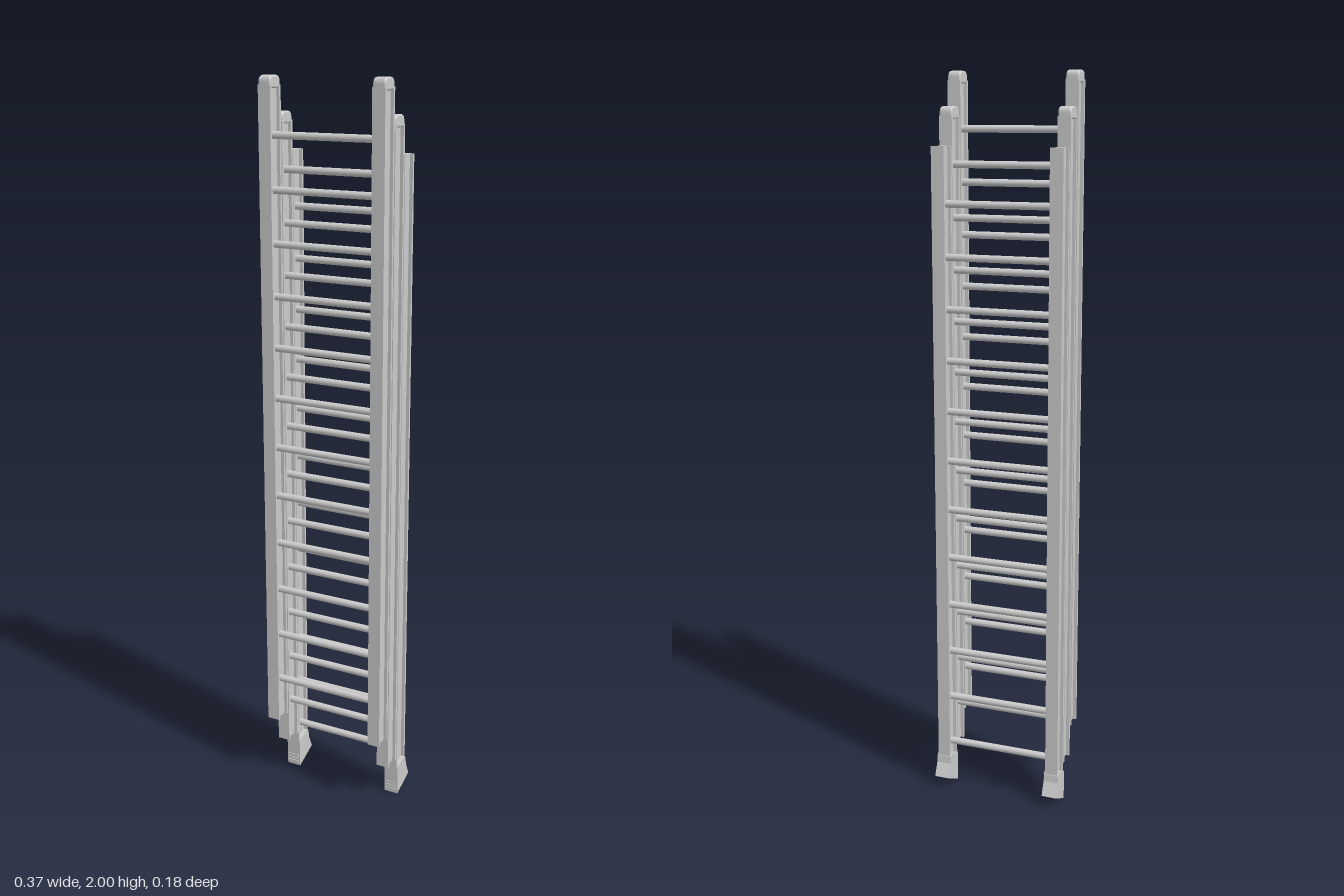
import * as THREE from 'three';

const material = new THREE.MeshStandardMaterial({ color: 0xcccccc });
const RAIL_W = 0.036, RAIL_D = 0.052, RAIL_X = 0.163;

function addMesh(parent, name, geometry, x, y, z) {
  const mesh = new THREE.Mesh(geometry, material);
  mesh.name = name;
  mesh.position.set(x, y, z);
  parent.add(mesh);
  return mesh;
}

// I-beam side rail standing on y = 0
function railGeometry(length) {
  const w = RAIL_W / 2, d = RAIL_D / 2, web = 0.009, f = d - 0.007;
  const half = [[w, -d], [w, -f], [web, -f], [web, f], [w, f], [w, d]];
  const other = half.map(([x, y]) => [-x, -y]);
  const shape = new THREE.Shape([...half, ...other].map(p => new THREE.Vector2(...p)));
  return new THREE.ExtrudeGeometry(shape, { depth: length, bevelEnabled: false }).rotateX(-Math.PI / 2);
}

// Side profile in (z, y) extruded across x, centred
function sideExtrude(shape, width, bevel = 0) {
  const depth = width - 2 * bevel;
  return new THREE.ExtrudeGeometry(shape, {
    depth, bevelEnabled: bevel > 0, bevelSize: bevel, bevelThickness: bevel,
    bevelOffset: -bevel, bevelSegments: 3, curveSegments: 8,
  }).translate(0, 0, -depth / 2).rotateY(-Math.PI / 2);
}

// Rounded plug closing the top of a rail
function capGeometry() {
  const d = RAIL_D / 2 - 0.001, h = 0.024, r = 0.017;
  const s = new THREE.Shape();
  s.moveTo(-d, -0.008);
  s.lineTo(d, -0.008);
  s.lineTo(d, h - r);
  s.quadraticCurveTo(d, h, d - r, h);
  s.lineTo(-d + r, h);
  s.quadraticCurveTo(-d, h, -d, h - r);
  s.closePath();
  return sideExtrude(s, RAIL_W, 0.005);
}

// Slanted rubber foot
function footGeometry() {
  const profile = [[-0.018, 0], [-0.016, 0.08], [-0.02, 0.086], [-0.062, 0.1],
    [-0.069, 0.092], [-0.071, 0.072], [-0.088, 0.034]];
  const shape = new THREE.Shape(profile.reverse().map(p => new THREE.Vector2(...p)));
  return sideExtrude(shape, 0.042);
}

function ladderSection({ name, bottom, top, z, offset, firstRung, capped }) {
  const section = new THREE.Group();
  section.name = name;
  section.position.x = offset;
  const rail = railGeometry(top - bottom), cap = capGeometry();
  for (const side of [-1, 1]) {
    const label = side > 0 ? 'left' : 'right';
    addMesh(section, label + 'Rail', rail, side * RAIL_X, bottom, z);
    if (capped) addMesh(section, label + 'RailCap', cap, side * RAIL_X, top, z);
  }
  // Evenly spaced round rungs
  const rung = new THREE.CylinderGeometry(0.0098, 0.0098, 2 * RAIL_X, 16).rotateZ(Math.PI / 2);
  for (let i = 0; i < 12; i++) addMesh(section, 'rung', rung, 0, firstRung + i * 0.139, z);
  return section;
}

export function createModel() {
  const model = new THREE.Group();
  model.name = 'extensionLadder';
  const sections = [
    { name: 'frontSection', bottom: 0.2, top: 1.976, z: 0.062, offset: -0.004, firstRung: 0.323, capped: true },
    { name: 'middleSection', bottom: 0.11, top: 1.886, z: 0.01, offset: -0.0015, firstRung: 0.233, capped: true },
    { name: 'backSection', bottom: 0.05, top: 1.81, z: -0.042, offset: 0, firstRung: 0.133, capped: false },
  ];
  for (const s of sections) model.add(ladderSection(s));

  // Feet of the back section with tread ribs on the front
  const foot = footGeometry();
  const rib = new THREE.BoxGeometry(0.034, 0.005, 0.004);
  for (const side of [-1, 1]) {
    const label = side > 0 ? 'left' : 'right';
    addMesh(model, label + 'Foot', foot, side * RAIL_X, 0, 0);
    for (const y of [0.012, 0.022, 0.032]) addMesh(model, label + 'FootRib', rib, side * RAIL_X, y, -0.0175);
  }
  return model;
}
